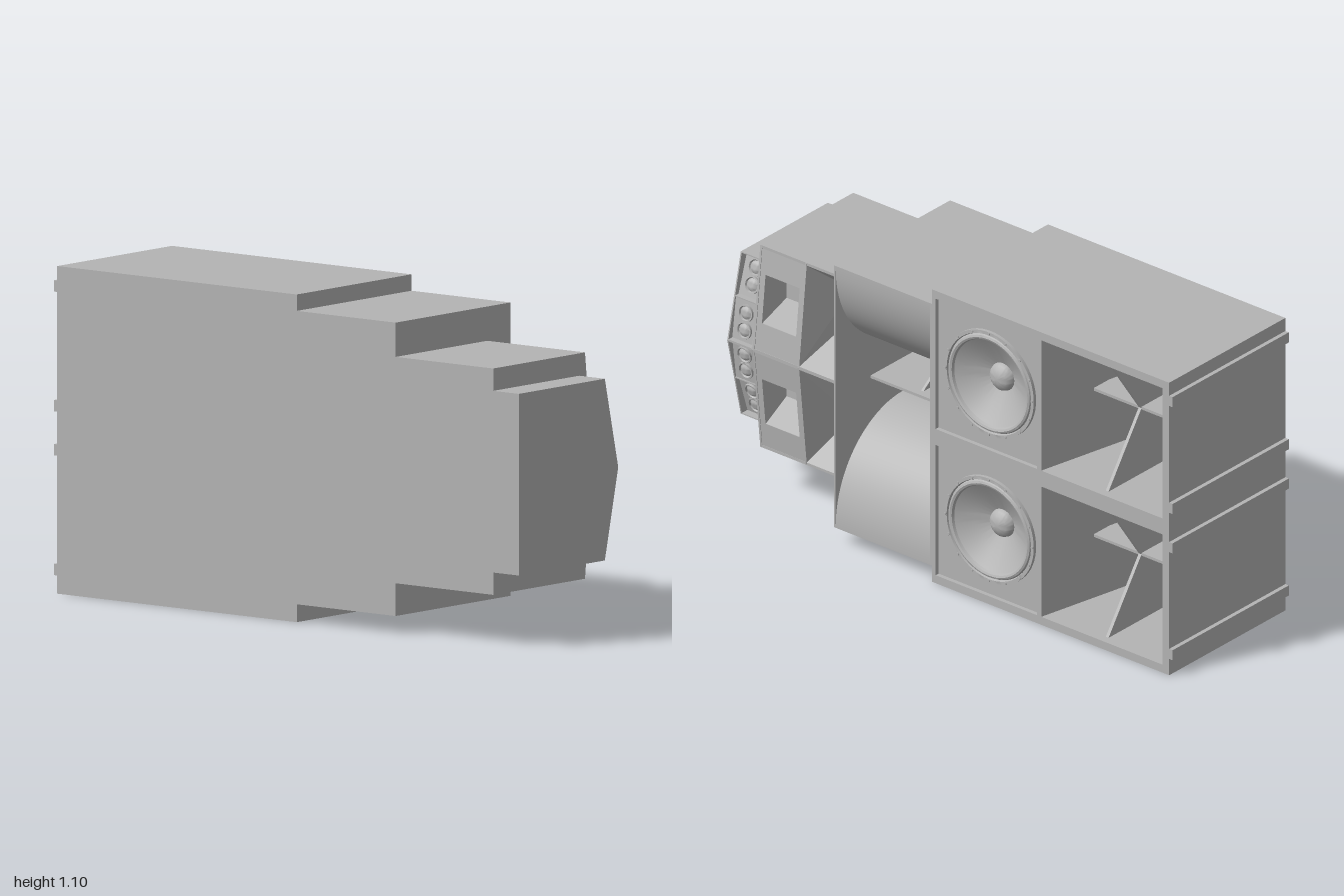
import * as THREE from 'three';
import { toCreasedNormals } from 'three/addons/utils/BufferGeometryUtils.js';

const grey = new THREE.MeshStandardMaterial({ color: 0xb4b4b4, side: THREE.DoubleSide });
grey.name = 'cabinet grey';
const MID = 0.55; // height of the stack's symmetry plane

function add(parent, name, geometry, x = 0, y = 0, z = 0) {
  const mesh = new THREE.Mesh(geometry, grey);
  mesh.name = name;
  mesh.position.set(x, y, z);
  parent.add(mesh);
  return mesh;
}

// Box given by its limits on each axis
function slab(parent, name, x0, x1, y0, y1, z0, z1) {
  return add(parent, name, new THREE.BoxGeometry(x1 - x0, y1 - y0, z1 - z0),
    (x0 + x1) / 2, (y0 + y1) / 2, (z0 + z1) / 2);
}

const polygon = (pts) => new THREE.Shape(pts.map(([a, b]) => new THREE.Vector2(a, b)));
const extrude = (shape, depth) =>
  new THREE.ExtrudeGeometry(shape, { depth, bevelEnabled: false, curveSegments: 40 });

// Side profile of (x, y) points, extruded from z0 to z1
const profileZ = (pts, z0, z1) =>
  toCreasedNormals(extrude(polygon(pts), z1 - z0).translate(0, 0, z0), 0.5);

// Plan of (x, z) points, extruded from y0 to y1
const planY = (pts, y0, y1) => toCreasedNormals(
  extrude(polygon(pts.map(([x, z]) => [x, -z])), y1 - y0).rotateX(-Math.PI / 2).translate(0, y0, 0), 0.5);

const rectangle = (z0, z1, y0, y1) => [[-z0, y0], [-z1, y0], [-z1, y1], [-z0, y1]];

// Open four-sided funnel between two corner loops, closed at the far end
function funnel(a, b) {
  const pos = [];
  const quad = (p, q, r, s) => pos.push(...p, ...q, ...r, ...p, ...r, ...s);
  for (let i = 0; i < 4; i++) {
    const j = (i + 1) % 4;
    quad(a[i], a[j], b[j], b[i]);
  }
  quad(...b);
  const g = new THREE.BufferGeometry();
  g.setAttribute('position', new THREE.Float32BufferAttribute(pos, 3));
  g.computeVertexNormals();
  return g;
}

// Turned part facing +x, from (radius, height) points
const turned = (pts, n = 48) => toCreasedNormals(
  new THREE.LatheGeometry(pts.map(([r, h]) => new THREE.Vector2(r, h)), n).rotateZ(-Math.PI / 2), 0.6);

function woofer() {
  const g = new THREE.Group();
  g.name = 'woofer';
  add(g, 'wooferFrame', turned([[0.195, 0], [0.195, 0.012], [0.183, 0.012], [0.18, 0.004],
    [0.176, 0.011], [0.169, 0.014], [0.162, 0.011], [0.158, 0.002]], 64));
  add(g, 'wooferCone', turned([[0.158, 0.002], [0.1, -0.035], [0.05, -0.06]], 64));
  add(g, 'dustCap', turned([[0.05, -0.06], [0.045, -0.046], [0.033, -0.036], [0.017, -0.03], [0, -0.028]]));
  for (let i = 0; i < 16; i++) {
    const a = (i / 16) * Math.PI * 2;
    add(g, 'frameScrew', new THREE.CylinderGeometry(0.005, 0.005, 0.004, 8).rotateZ(-Math.PI / 2),
      0.014, 0.189 * Math.sin(a), 0.189 * Math.cos(a));
  }
  return g;
}

// Bass cabinet: driver on one side, deep horn mouth on the other
function bassCabinet() {
  const g = new THREE.Group();
  g.name = 'bassCabinet';
  slab(g, 'floorPanel', -0.3, 0.3, 0, 0.03, -0.985, 0.045);
  slab(g, 'roofPanel', -0.3, 0.3, 0.52, 0.55, -0.985, 0.045);
  add(g, 'hornBody', planY([[-0.3, 0.045], [0.3, 0.045], [0.3, 0.028], [0.18, 0.028], [0.18, -0.412],
    [0.3, -0.412], [0.3, -0.43], [-0.12, -0.52], [-0.12, -0.82], [-0.08, -0.87], [0, -0.915],
    [0.1, -0.942], [0.2, -0.953], [0.3, -0.957], [0.3, -0.985], [-0.3, -0.985]], 0.03, 0.52));
  const baffle = polygon(rectangle(-0.412, 0.028, 0.03, 0.52));
  const hole = new THREE.Path();
  hole.absarc(0.2, 0.275, 0.182, 0, Math.PI * 2, true);
  baffle.holes.push(hole);
  add(g, 'wooferBaffle', extrude(baffle, 0.02).rotateY(Math.PI / 2), 0.265);
  const w = woofer();
  w.position.set(0.285, 0.275, -0.2);
  g.add(w);
  // Crossed braces inside the mouth
  slab(g, 'hornShelf', -0.12, 0.1, 0.27, 0.28, -0.955, -0.49);
  add(g, 'hornBrace', profileZ([[-0.12, 0.03], [0.27, 0.03], [0.1, 0.275], [0.27, 0.52], [-0.12, 0.52]],
    -0.697, -0.685));
  for (const y of [0.08, 0.482])
    slab(g, 'skidRail', -0.3, 0.3, y - 0.019, y + 0.019, -1, -0.98);
  return g;
}

// Mid-bass horn: two flared lips meeting a tall slot throat
function midBassHorn() {
  const g = new THREE.Group();
  g.name = 'midBassHorn';
  const lip = (side) => {
    const pts = [];
    for (let i = 0; i <= 20; i++) {
      const t = (i / 20) * Math.PI / 2;
      pts.push([0.3 - 0.35 * (1 - Math.cos(t)), MID + side * (0.485 - 0.37 * Math.sin(t))]);
    }
    return pts;
  };
  add(g, 'hornFlare', profileZ([[-0.3, 0.06], [0.3, 0.06], ...lip(-1), [-0.2, MID - 0.115],
    [-0.2, MID + 0.115], ...lip(1).reverse(), [0.3, 1.045], [-0.3, 1.045]], 0.053, 0.462));
  for (const z of [0.045, 0.462])
    slab(g, 'sidePanel', -0.3, 0.3, 0.06, 1.045, z, z + 0.008);
  add(g, 'throatWedge', profileZ([[-0.2, 0.49], [0.12, 0.55], [0.12, 0.56], [-0.2, 0.56]], 0.053, 0.462));
  add(g, 'throatBrace', profileZ([[-0.2, 0.435], [-0.05, 0.435], [0.1, 0.555], [-0.05, 0.665], [-0.2, 0.665]],
    0.255, 0.265));
  return g;
}

// Plate whose front edge follows the shallow V of a cabinet half
const wedgePlate = (front, back, h, z0, z1) =>
  profileZ([[back, 0], [front(0), 0], [front(h), h], [back, h]], z0, z1);

// Upper half of the mid-high cabinet; the lower one is its mirror
function midHighHalf() {
  const g = new THREE.Group();
  g.name = 'midHighCabinet';
  const h = 0.38;
  const front = (y) => 0.22 - 0.04 * y / h;
  slab(g, 'rearBody', -0.3, -0.05, 0, h, 0.47, 0.89);
  for (const z of [0.47, 0.688, 0.882])
    add(g, 'uprightPanel', wedgePlate(front, -0.05, h, z, z + 0.008));
  slab(g, 'outerPanel', -0.05, front(h), h - 0.01, h, 0.47, 0.89);
  slab(g, 'centrePanel', -0.05, front(0.006), 0, 0.006, 0.47, 0.89);
  // Treble horn
  const loop = (x, z0, z1, y0, y1) => [[z0, y0], [z1, y0], [z1, y1], [z0, y1]].map(([z, y]) => [x(y), y, z]);
  const deep = (x) => () => x;
  add(g, 'trebleHorn', funnel(loop(front, 0.478, 0.688, 0.006, h - 0.01), loop(deep(0.02), 0.53, 0.623, 0.13, 0.24)));
  add(g, 'hornThroat', turned([[0.04, 0], [0.04, 0.012], [0.032, 0.012], [0.026, 0.003], [0, 0.003]], 24), 0.02, 0.185, 0.577);
  // Slanted face with its recessed slot
  const face = polygon(rectangle(0.696, 0.882, 0.006, h - 0.01));
  face.holes.push(new THREE.Path(rectangle(0.712, 0.86, 0.105, 0.28).map(([a, b]) => new THREE.Vector2(a, b))));
  const plate = extrude(face, 0.008).rotateY(Math.PI / 2);
  const p = plate.attributes.position;
  for (let i = 0; i < p.count; i++) p.setX(i, p.getX(i) + front(p.getY(i)) - 0.01);
  plate.computeVertexNormals();
  add(g, 'slottedFace', plate);
  add(g, 'midrangeSlot', funnel(loop((y) => front(y) - 0.004, 0.712, 0.86, 0.105, 0.28),
    loop(deep(0.08), 0.712, 0.86, 0.15, 0.22)));
  return g;
}

// Upper half of the tweeter column: two tilted bays with two drivers each
function tweeterHalf() {
  const g = new THREE.Group();
  g.name = 'tweeterColumn';
  const h = 0.305;
  const front = (y) => 0.22 - 0.07 * y / h;
  slab(g, 'rearBody', -0.3, 0.09, 0, h, 0.89, 1);
  for (const z of [0.89, 0.995])
    add(g, 'cheekPanel', wedgePlate(front, 0.09, h, z, z + 0.005));
  for (const y of [0, 0.151, h - 0.004])
    slab(g, 'bayDivider', 0.09, front(y + 0.004), y, y + 0.004, 0.89, 1);
  [[0.2, 0.18, 0], [0.168, 0.12, 0.1525]].forEach(([x0, x1, y0]) => {
    const bay = new THREE.Group();
    bay.name = 'tweeterBay';
    bay.position.set((x0 + x1) / 2, y0 + 0.0765, 0.945);
    bay.rotation.z = Math.atan2(x0 - x1, 0.1525);
    slab(bay, 'bayBaffle', -0.01, 0, -0.076, 0.076, -0.05, 0.05);
    for (const y of [-0.031, 0.031])
      add(bay, 'tweeter', turned([[0.031, 0], [0.031, 0.008], [0.026, 0.008], [0.023, 0.002],
        [0.016, 0.008], [0.008, 0.011], [0, 0.012]], 24), 0, y, 0);
    g.add(bay);
  });
  return g;
}

export function createModel() {
  const model = new THREE.Group();
  model.name = 'speakerStack';
  for (const y of [0, 0.55]) {
    const cabinet = bassCabinet();
    cabinet.position.y = y;
    model.add(cabinet);
  }
  model.add(midBassHorn());
  for (const half of [midHighHalf, tweeterHalf])
    for (const side of [1, -1]) {
      const part = half();
      part.position.y = MID;
      part.scale.y = side;
      model.add(part);
    }
  return model;
}
